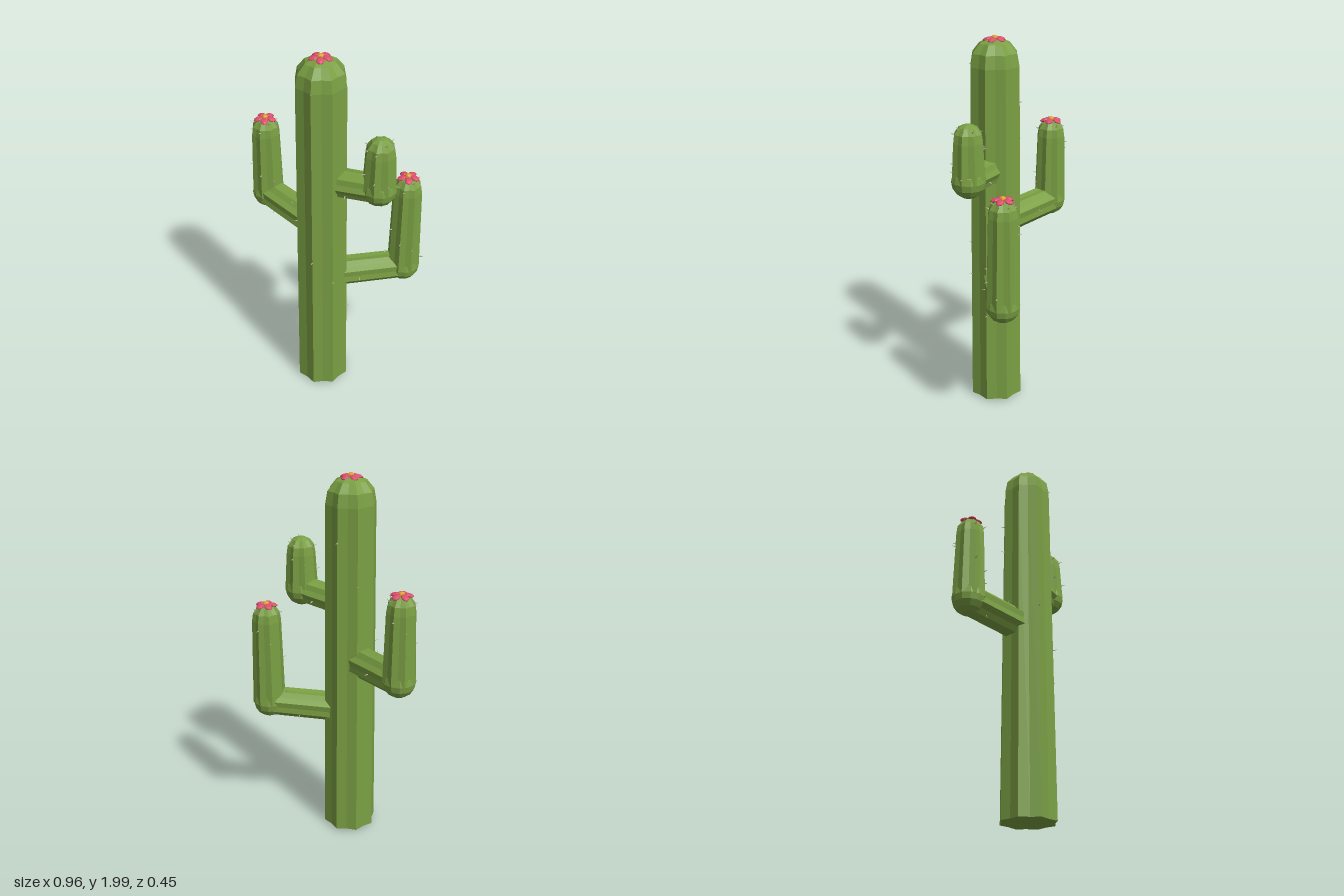
import * as THREE from 'three';

const flat = (name, color) => {
  const m = new THREE.MeshStandardMaterial({ color, flatShading: true });
  m.name = name;
  return m;
};
const UP = new THREE.Vector3(0, 1, 0);

export function createModel() {
  const model = new THREE.Group();
  model.name = 'cactus';
  const green = flat('cactusGreen', 0x7a9f43);
  const pink = flat('petalPink', 0xd94f6b);
  const yellow = flat('flowerYellow', 0xe0a02c);
  const pale = flat('spinePale', 0xc4b0a2);

  const add = (parent, name, geometry, material) => {
    const mesh = new THREE.Mesh(geometry, material);
    mesh.name = name;
    parent.add(mesh);
    return mesh;
  };

  // Eight-ribbed lathe: every other column of vertices is pulled in to a groove
  const ribbed = (profile, groove = 0.88) => {
    const geo = new THREE.LatheGeometry(profile.map(([r, y]) => new THREE.Vector2(r, y)), 16);
    const pos = geo.attributes.position;
    for (let i = 0; i < pos.count; i++) {
      if (Math.floor(i / profile.length) % 2) {
        pos.setX(i, pos.getX(i) * groove);
        pos.setZ(i, pos.getZ(i) * groove);
      }
    }
    return geo;
  };

  // Rounded top profile above a stem
  const dome = (r, y, h) => [[r, y], [r * 0.91, y + h * 0.48], [r * 0.62, y + h * 0.82], [r * 0.3, y + h * 0.96], [0, y + h]];

  // Five drooping petals around a round centre
  const flower = (parent, y) => {
    const group = new THREE.Group();
    group.name = 'flower';
    group.position.y = y;
    parent.add(group);
    for (let k = 0; k < 5; k++) {
      const arm = new THREE.Group();
      arm.name = 'petalHolder';
      arm.rotation.y = (k * Math.PI * 2) / 5;
      group.add(arm);
      const petal = add(arm, 'petal', new THREE.SphereGeometry(1, 8, 6), pink);
      petal.scale.set(0.025, 0.009, 0.02);
      petal.position.set(0.036, -0.006, 0);
      petal.rotation.z = -0.3;
    }
    const centre = add(group, 'flowerCentre', new THREE.SphereGeometry(0.017, 8, 6), yellow);
    centre.scale.y = 0.8;
  };

  // Thin cone pointing outward from a surface point
  const spine = (parent, point, dir) => {
    const d = dir.clone().normalize();
    const s = add(parent, 'spine', new THREE.ConeGeometry(0.004, 0.024, 5), pale);
    s.position.copy(point).addScaledVector(d, 0.008);
    s.quaternion.setFromUnitVectors(UP, d);
  };

  // Spines along the ribs of a stem and around its dome
  const spines = (parent, count, domeCount, r0, r1, y0, y1, h) => {
    for (let k = 0; k < count; k++) {
      const a = (k * 3 + 1) * Math.PI / 4, t = ((k * 0.618 + 0.3) % 1);
      const dir = new THREE.Vector3(Math.sin(a), 0.15, Math.cos(a));
      const r = THREE.MathUtils.lerp(r0, r1, t);
      spine(parent, new THREE.Vector3(dir.x * r, y0 + (y1 - y0) * t, dir.z * r), dir);
    }
    for (let k = 0; k < domeCount; k++) {
      const a = k * 3 * Math.PI / 4, e = 0.35 + 0.6 * ((k * 0.618) % 1);
      const dir = new THREE.Vector3(Math.sin(a) * Math.cos(e), Math.sin(e), Math.cos(a) * Math.cos(e));
      spine(parent, new THREE.Vector3(dir.x * r1, y1 + dir.y * h, dir.z * r1), dir);
    }
  };

  // Trunk
  const trunk = new THREE.Group();
  trunk.name = 'trunk';
  trunk.position.set(-0.015, 0, 0.073);
  model.add(trunk);
  add(trunk, 'trunkStem', ribbed([[0, 0.004], [0.145, 0.014], ...dome(0.13, 1.85, 0.135)]), green);
  flower(trunk, 1.985);
  spines(trunk, 6, 3, 0.143, 0.13, 0.3, 1.8, 0.13);

  // Arms: branch out of the trunk, round elbow, upright stem
  const arms = [
    { name: 'rightArm', x: -0.392, z: -0.102, elbow: 1.05, start: 1.025, top: 1.503, r: 0.087, tube: 0.083, bloom: true },
    { name: 'lowerLeftArm', x: 0.378, z: -0.12, elbow: 0.75, start: 0.72, top: 1.31, r: 0.088, tube: 0.08, bloom: true },
    { name: 'upperLeftArm', x: 0.292, z: 0.09, elbow: 1.345, start: 1.32, top: 1.63, r: 0.088, tube: 0.075, bloom: false },
  ];
  for (const a of arms) {
    const arm = new THREE.Group();
    arm.name = a.name;
    model.add(arm);

    const end = new THREE.Vector3(a.x, a.elbow, a.z);
    const root = new THREE.Vector3(-0.015, a.start, 0.073);
    const dir = end.clone().sub(root).normalize();
    root.addScaledVector(dir, 0.06);
    const len = end.distanceTo(root);
    const branch = add(arm, 'branch', ribbed([[0, 0], [a.tube, 0], [a.tube * 0.97, len], [0, len]]), green);
    branch.position.copy(root);
    branch.quaternion.setFromUnitVectors(UP, dir);

    const upright = new THREE.Group();
    upright.name = 'upright';
    upright.position.set(a.x, 0, a.z);
    arm.add(upright);
    const elbow = add(upright, 'elbow', new THREE.SphereGeometry(a.r * 0.98, 12, 8), green);
    elbow.position.y = a.elbow;
    const h = 0.09, rt = a.r * 0.87;
    add(upright, 'stem', ribbed([[0, a.elbow], [a.r, a.elbow], ...dome(rt, a.top - h, h)]), green);
    spines(upright, 6, 7, a.r, rt, a.elbow, a.top - h, h);
    if (a.bloom) flower(upright, a.top);

    // A few spines on the branch
    for (let k = 0; k < 3; k++) {
      const q = k * 2.1 + 0.6;
      const out = new THREE.Vector3(Math.sin(q), 0, Math.cos(q)).applyQuaternion(branch.quaternion);
      spine(arm, root.clone().addScaledVector(dir, len * (0.35 + 0.2 * k)).addScaledVector(out, a.tube * 0.92), out);
    }
  }
  return model;
}
